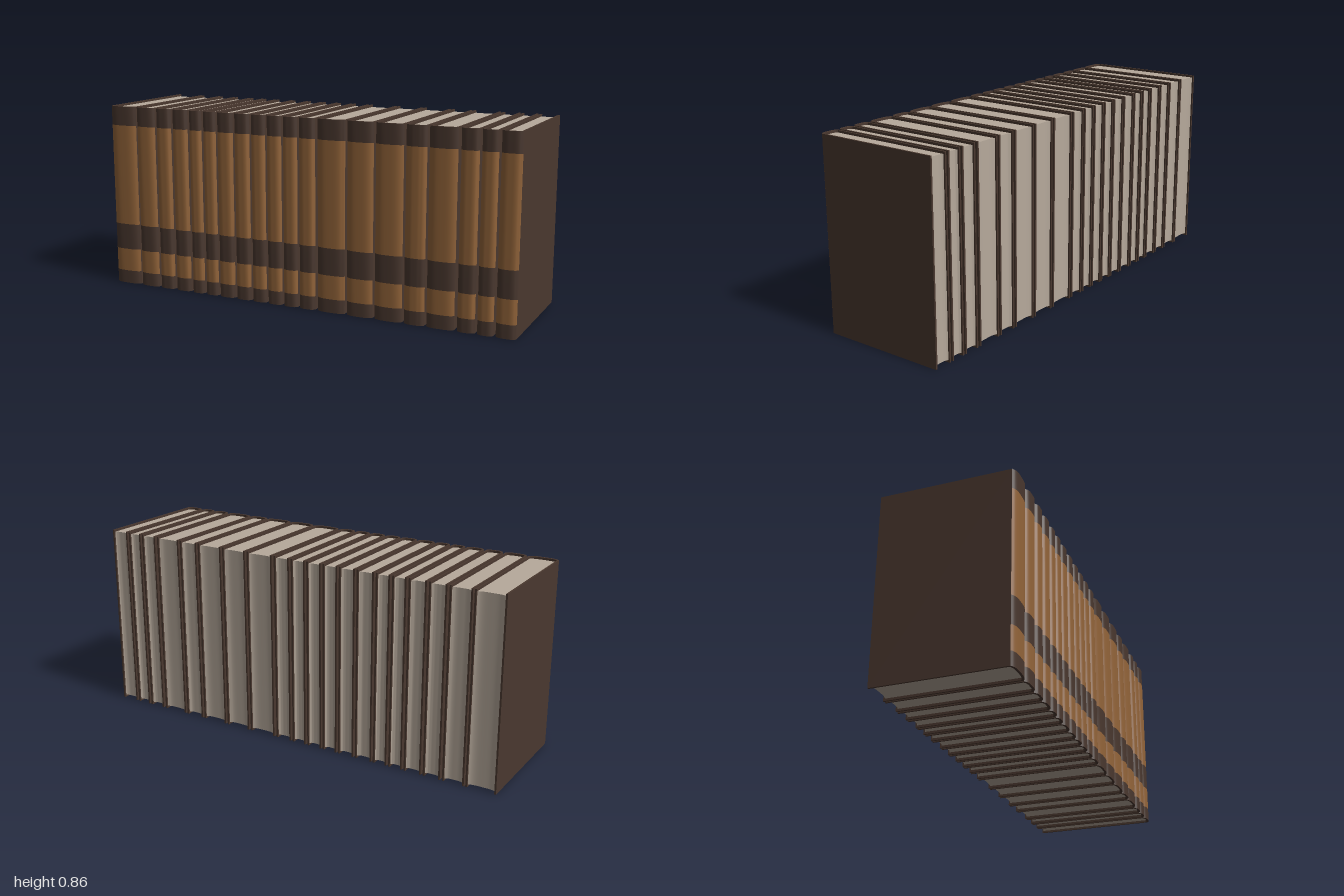
import * as THREE from 'three';
import { toCreasedNormals } from 'three/addons/utils/BufferGeometryUtils.js';

const HEIGHT = 0.86, BACK = -0.295, HINGE = 0.28, BULGE = 0.015, BOARD = 0.008;

// left and right edge of every book along the shelf
const BOOKS = [
  [-1, -0.863], [-0.856, -0.756], [-0.746, -0.666], [-0.656, -0.575], [-0.565, -0.5],
  [-0.49, -0.424], [-0.415, -0.334], [-0.325, -0.248], [-0.239, -0.168], [-0.159, -0.087],
  [-0.078, -0.008], [0.002, 0.08], [0.092, 0.224], [0.234, 0.357], [0.367, 0.494],
  [0.504, 0.597], [0.607, 0.731], [0.744, 0.822], [0.832, 0.902], [0.912, 1],
];

// spine bands from bottom to top: [from, to, is tan]
const BANDS = [
  [0, 0.062, false], [0.062, 0.17, true], [0.17, 0.293, false],
  [0.293, 0.77, true], [0.77, HEIGHT, false],
];

export function createModel() {
  const mat = (name, color) => {
    const m = new THREE.MeshStandardMaterial({ color });
    m.name = name;
    return m;
  };
  const cover = mat('dark brown leather', 0x4a382f);
  const tan = mat('tan leather', 0x94653a);
  const paper = mat('paper', 0xb6a99b);

  // rounded curve across a book: flat in the middle, steep at the edges
  const arc = (half, z, depth, n = 14) =>
    Array.from({ length: n + 1 }, (_, i) => {
      const t = -Math.cos((i / n) * Math.PI);
      return new THREE.Vector2(half * t, z + depth * (1 - t ** 4));
    });

  // outline given in x and z, raised from y0 to y1
  const upright = (points, y0, y1) => {
    const shape = new THREE.Shape(points.map((p) => new THREE.Vector2(p.x, -p.y)));
    const geo = new THREE.ExtrudeGeometry(shape, { depth: y1 - y0, bevelEnabled: false });
    geo.rotateX(-Math.PI / 2).translate(0, y0, 0);
    return toCreasedNormals(geo, 0.6);
  };

  const makeBook = (width) => {
    const book = new THREE.Group();
    const half = width / 2, inner = half - BOARD;
    const add = (name, geo, material) => {
      const mesh = new THREE.Mesh(geo, material);
      mesh.name = name;
      book.add(mesh);
      return mesh;
    };

    // cover boards
    for (const side of [-1, 1]) {
      const board = add(side < 0 ? 'rightBoard' : 'leftBoard',
        new THREE.BoxGeometry(BOARD, HEIGHT, HINGE - BACK), cover);
      board.position.set(side * (half - BOARD / 2), HEIGHT / 2, (HINGE + BACK) / 2);
    }

    // curved spine in coloured bands
    const spine = [...arc(half, HINGE, BULGE), ...arc(inner, HINGE - 0.006, 0.011).reverse()];
    for (const [y0, y1, isTan] of BANDS) {
      add(isTan ? 'spinePanel' : 'spineBand', upright(spine, y0, y1), isTan ? tan : cover);
    }

    // page block with a hollow fore edge
    const pages = [
      ...arc(inner, HINGE - 0.006, 0.011),
      ...arc(inner, -0.288, 0.008).reverse(),
    ];
    add('pages', upright(pages, 0.01, HEIGHT - 0.01), paper);
    return book;
  };

  const group = new THREE.Group();
  group.name = 'rowOfBooks';
  BOOKS.forEach(([x0, x1], i) => {
    const book = makeBook(x1 - x0);
    book.name = `book${i + 1}`;
    book.position.x = (x0 + x1) / 2;
    group.add(book);
  });
  return group;
}
